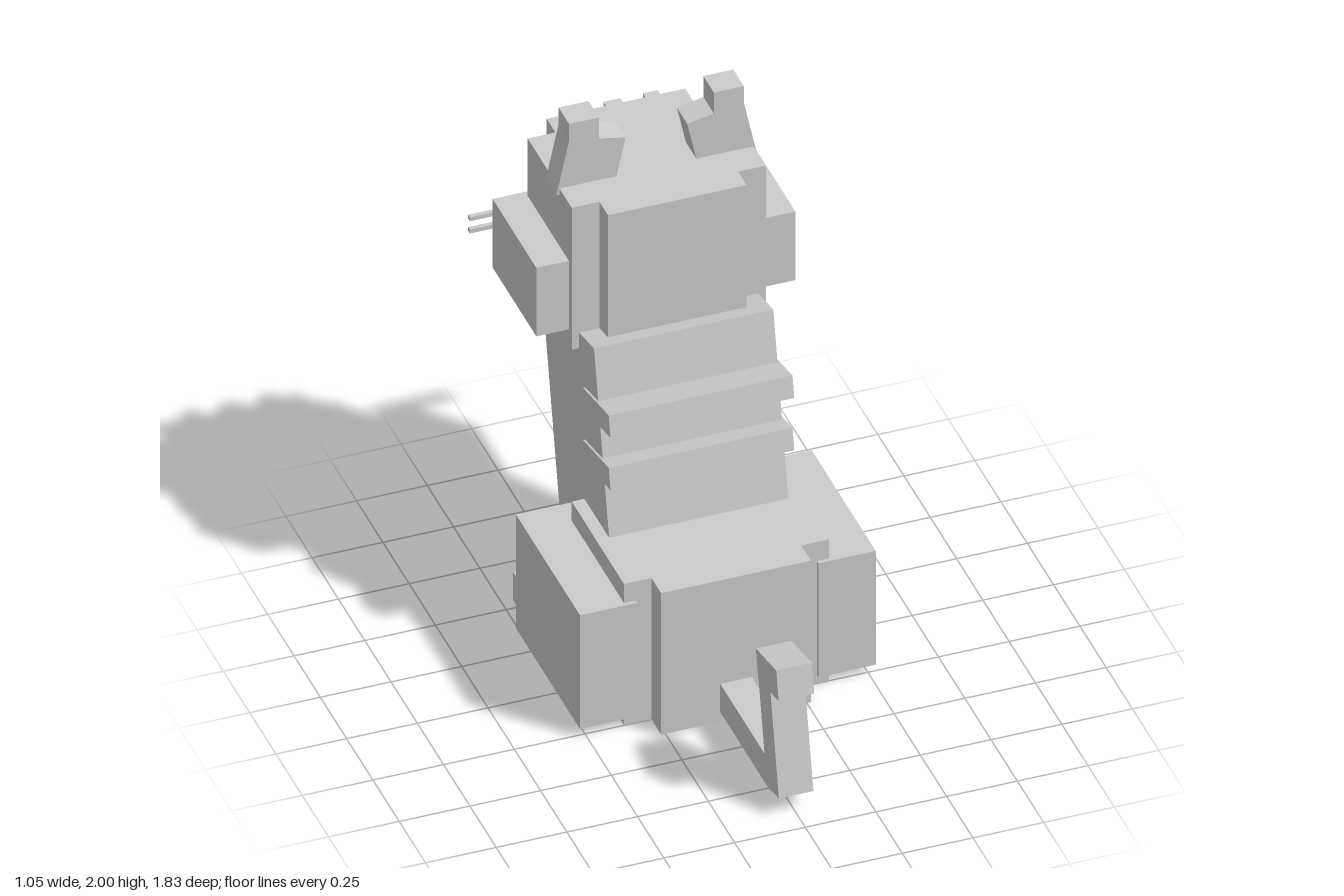
import * as THREE from 'three';

const TILT = THREE.MathUtils.degToRad(12);

export function createModel() {
  const model = new THREE.Group();
  model.name = 'sittingCat';
  const grey = new THREE.MeshStandardMaterial({ color: 0xcccccc });
  grey.name = 'lightGrey';

  // Box given by its min and max along each axis
  function box(parent, name, [x0, x1], [y0, y1], [z0, z1]) {
    const mesh = new THREE.Mesh(new THREE.BoxGeometry(x1 - x0, y1 - y0, z1 - z0), grey);
    mesh.position.set((x0 + x1) / 2, (y0 + y1) / 2, (z0 + z1) / 2);
    mesh.name = name;
    parent.add(mesh);
    return mesh;
  }
  // Box centred on x = 0
  const mid = (parent, name, half, y, z) => box(parent, name, [-half, half], y, z);
  // Mirrored pair of boxes, with an optional lean about z
  function pair(parent, name, [x0, x1], y, z, lean = 0) {
    box(parent, name + 'Left', [x0, x1], y, z).rotation.z = lean;
    box(parent, name + 'Right', [-x1, -x0], y, z).rotation.z = -lean;
  }
  function part(name, x = 0, y = 0, z = 0) {
    const group = new THREE.Group();
    group.name = name;
    group.position.set(x, y, z);
    model.add(group);
    return group;
  }

  // Hips: two crossed boxes
  const hips = part('hips');
  mid(hips, 'hipsLong', 0.265, [0.005, 0.583], [-0.342, 0.342]);
  mid(hips, 'hipsWide', 0.362, [0.005, 0.583], [-0.248, 0.25]);

  // Legs and paws
  const legs = part('legs');
  pair(legs, 'hindLeg', [0.32, 0.523], [0.04, 0.505], [-0.345, 0.264]);
  pair(legs, 'hindPaw', [0.26, 0.464], [0.015, 0.13], [-0.53, -0.25]);
  pair(legs, 'frontLeg', [0.102, 0.27], [0.12, 0.652], [-0.615, -0.45]);
  pair(legs, 'frontPaw', [0.083, 0.286], [0.015, 0.13], [-0.71, -0.43]);

  // Leaning torso with chest plate and back stripes
  const torso = part('torso', 0, 0.774, -0.31);
  torso.rotation.x = -TILT;
  mid(torso, 'torsoBlock', 0.317, [-0.4425, 0.4425], [-0.251, 0.251]);
  mid(torso, 'chestPlate', 0.207, [-0.275, 0.335], [-0.3, -0.24]);
  mid(torso, 'upperStripe', 0.325, [0.168, 0.25], [0.125, 0.375]);
  mid(torso, 'lowerStripe', 0.325, [-0.041, 0.041], [0.081, 0.331]);

  // Tail: flat base, leaning stem and tip
  const tail = part('tail');
  mid(tail, 'tailBase', 0.056, [0.045, 0.16], [0.3, 0.825]);
  mid(tail, 'tailStem', 0.061, [0.062, 0.542], [0.75, 0.865]).rotation.x = -TILT;
  mid(tail, 'tailTip', 0.063, [0.458, 0.57], [0.709, 0.907]).rotation.x = -TILT;

  // Head: two crossed boxes and cheeks
  const head = part('head');
  mid(head, 'headLong', 0.245, [1.165, 1.745], [-0.8, -0.217]);
  mid(head, 'headWide', 0.343, [1.165, 1.745], [-0.717, -0.298]);
  pair(head, 'cheek', [0.33, 0.458], [1.23, 1.51], [-0.742, -0.325]);

  // Ears
  pair(head, 'ear', [0.13, 0.333], [1.698, 1.918], [-0.515, -0.415], TILT);
  pair(head, 'earTip', [0.203, 0.309], [1.84, 2.0], [-0.515, -0.415]);
  pair(head, 'innerEar', [0.188, 0.28], [1.73, 1.85], [-0.54, -0.5], TILT);

  // Face
  const face = part('face');
  pair(face, 'browStripe', [0.11, 0.163], [1.57, 1.733], [-0.84, -0.79]);
  mid(face, 'foreheadStripe', 0.03, [1.56, 1.733], [-0.84, -0.79]);
  pair(face, 'eye', [0.108, 0.2], [1.425, 1.57], [-0.855, -0.79]);
  pair(face, 'pupil', [0.118, 0.158], [1.5, 1.556], [-0.868, -0.85]);
  mid(face, 'muzzle', 0.16, [1.23, 1.425], [-0.89, -0.79]);
  mid(face, 'nose', 0.045, [1.366, 1.425], [-0.916, -0.88]);
  for (const y of [1.295, 1.345]) {
    pair(face, 'whisker', [0.22, 0.489], [y - 0.008, y + 0.008], [-0.89, -0.874]);
  }

  return model;
}
